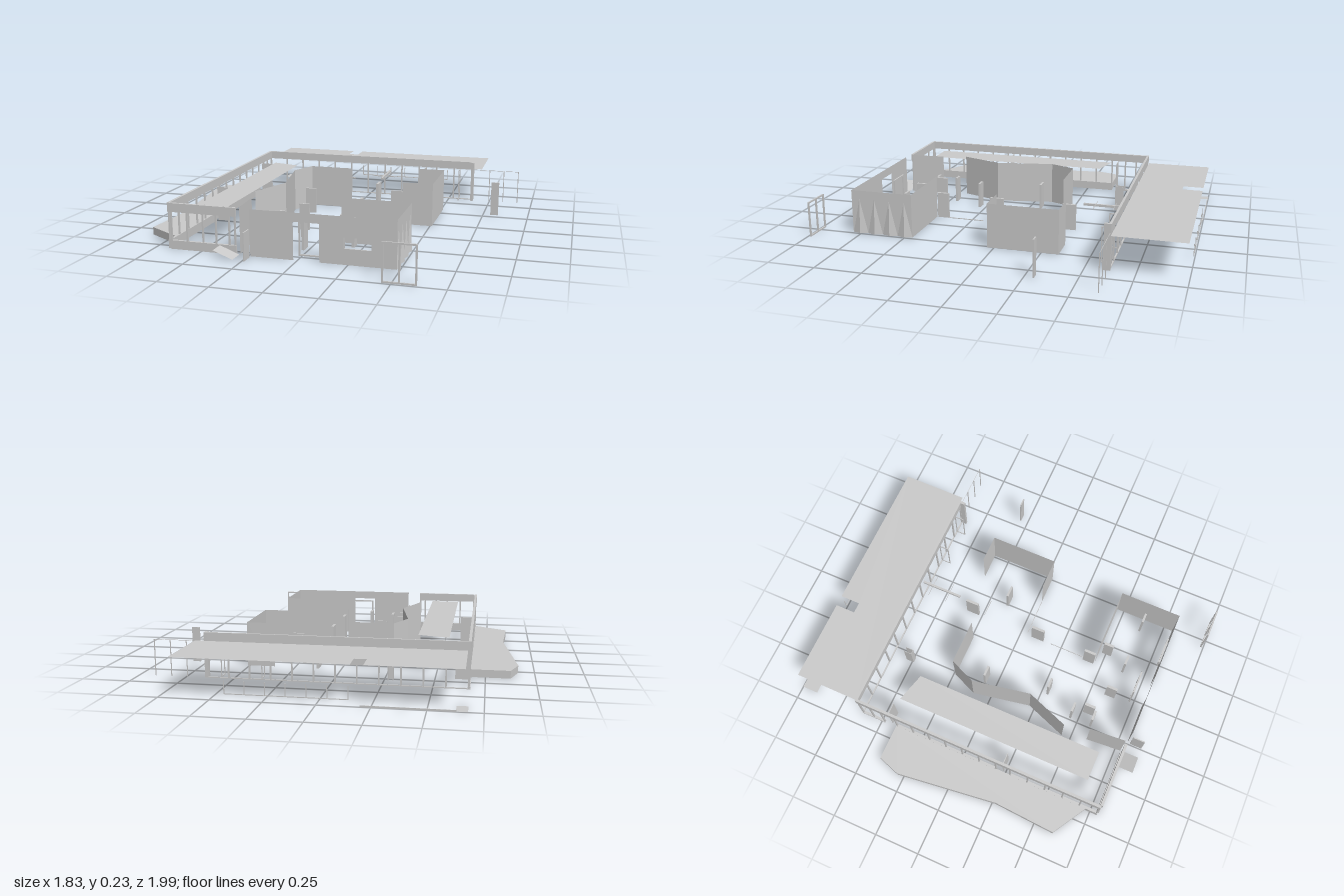
import * as THREE from 'three';

const H = 0.235, HEAD = 0.19, SILL = 0.045;

export function createModel() {
  const root = new THREE.Group();
  root.name = 'pavilion';
  const mat = new THREE.MeshStandardMaterial({ color: 0xcccccc, side: THREE.DoubleSide, flatShading: true });

  const add = (name, geo, parent = root) => {
    const mesh = new THREE.Mesh(geo, mat);
    mesh.name = name;
    parent.add(mesh);
    return mesh;
  };
  const group = (name) => {
    const g = new THREE.Group();
    g.name = name;
    root.add(g);
    return g;
  };
  // box from its minimum and maximum corners
  const box = (name, x0, x1, y0, y1, z0, z1, parent) =>
    add(name, new THREE.BoxGeometry(x1 - x0, y1 - y0, z1 - z0), parent)
      .position.set((x0 + x1) / 2, (y0 + y1) / 2, (z0 + z1) / 2);
  const outline = (pts) => new THREE.Shape(pts.map(([a, b]) => new THREE.Vector2(a, b)));
  // flat sheet from [x, z] points
  const sheet = (name, pts, y) => {
    const geo = new THREE.ShapeGeometry(outline(pts.map(([x, z]) => [x, -z])));
    geo.rotateX(-Math.PI / 2);
    add(name, geo).position.y = y;
  };
  // upright thin walls following [x, z] points
  const wall = (name, pts, h = H) => {
    const pos = [], idx = [];
    pts.forEach(([x, z], i) => {
      pos.push(x, 0, z, x, h, z);
      if (i) idx.push(2 * i - 2, 2 * i, 2 * i - 1, 2 * i, 2 * i + 1, 2 * i - 1);
    });
    const geo = new THREE.BufferGeometry();
    geo.setAttribute('position', new THREE.Float32BufferAttribute(pos, 3));
    geo.setIndex(idx);
    geo.computeVertexNormals();
    add(name, geo);
  };

  // canopy with its notch, and the ceiling strip
  sheet('backCanopy', [[-0.665, -0.99], [-0.215, -0.99], [-0.215, -0.88], [-0.155, -0.88],
    [-0.155, -0.99], [0.695, -0.99], [0.695, -0.63], [-0.665, -0.63]], 0.192);
  sheet('ceilingStrip', [[-0.565, -0.415], [-0.405, -0.37], [-0.405, 0.675], [-0.565, 0.675]], 0.205);

  // raised terrace along the side
  const deck = new THREE.ExtrudeGeometry(outline([[-0.675, 0.405], [-0.875, 0.405], [-0.915, 0.285],
    [-0.845, -0.27], [-0.865, -0.61], [-0.675, -0.725]]), { depth: 0.04, bevelEnabled: false });
  deck.rotateX(-Math.PI / 2);
  add('terrace', deck).position.y = 0.004;

  // sloping entrance ramp
  const ramp = new THREE.PlaneGeometry(0.1, 0.085);
  ramp.rotateX(-Math.PI / 2);
  const rp = ramp.attributes.position;
  for (let i = 0; i < rp.count; i++) rp.setY(i, rp.getX(i) < 0 ? 0.042 : 0.003);
  ramp.computeVertexNormals();
  add('entranceRamp', ramp).position.set(-0.348, 0, 0.842);
  box('entranceDoor', -0.243, -0.237, 0, 0.14, 0.815, 0.882);

  // side window wall, with two open bays
  const side = group('sideWindows');
  box('sideBeam', -0.68, -0.666, HEAD, H, -0.62, 0.79, side);
  for (const [z0, z1] of [[-0.62, -0.48], [-0.405, 0.2], [0.275, 0.79]]) {
    box('sideSill', -0.68, -0.666, 0, z0 < -0.5 ? 0.01 : SILL, z0, z1, side);
    const n = Math.max(2, Math.round((z1 - z0) / 0.1));
    for (let i = 0; i <= n; i++) {
      const z = z0 + 0.004 + (z1 - z0 - 0.008) * i / n;
      box('mullion', -0.677, -0.669, 0, HEAD, z - 0.004, z + 0.004, side);
    }
  }
  for (const z of [-0.44, 0.235]) box('openSideDoor', -0.665, -0.6, 0, HEAD, z - 0.002, z + 0.002, side);

  // front corner window
  const corner = group('frontWindows');
  box('frontBeam', -0.665, -0.315, HEAD, H, 0.783, 0.797, corner);
  box('frontSill', -0.665, -0.315, 0, SILL, 0.783, 0.797, corner);
  for (const x of [-0.66, -0.575, -0.49, -0.42, -0.35, -0.32])
    box('mullion', x - 0.004, x + 0.004, SILL, HEAD, 0.786, 0.794, corner);

  // rear glazed wall
  const rear = group('rearWindows');
  box('rearBeam', -0.68, 0.65, HEAD, H, -0.626, -0.614, rear);
  box('rearThreshold', -0.68, 0.65, 0, 0.005, -0.624, -0.616, rear);
  box('rearColumn', 0.635, 0.65, 0, H, -0.626, -0.59, rear);
  for (let i = 0; i <= 12; i++) {
    const x = -0.672 + i * 0.109;
    box('mullion', x - 0.004, x + 0.004, 0, HEAD, -0.624, -0.616, rear);
  }
  // a rectangular frame in the x-y plane
  const frame = (name, x0, x1, y0, y1, z, t, parent) => {
    for (const x of [x0, x1 - t]) box(name + 'Post', x, x + t, y0, y1, z - 0.004, z + 0.004, parent);
    for (const y of [y0, y1 - t]) box(name + 'Rail', x0, x1, y, y + t, z - 0.004, z + 0.004, parent);
  };
  // glazed leaves standing open
  for (const x of [0.355, 0.565]) {
    for (const z of [-0.62, -0.569]) box('openLeafPost', x - 0.002, x + 0.002, 0.004, HEAD, z, z + 0.005, rear);
    for (const y of [0.004, 0.184]) box('openLeafRail', x - 0.002, x + 0.002, y, y + 0.006, -0.62, -0.564, rear);
  }
  // slender bars beyond the corner
  for (const x of [0.745, 0.83, 0.915]) box('outerBar', x - 0.002, x + 0.002, 0, HEAD, -0.622, -0.618, rear);
  box('outerRail', 0.65, 0.915, 0.188, 0.19, -0.621, -0.619, rear);

  // front wall with doorway and window
  const face = outline([[-0.24, 0], [-0.02, 0], [-0.02, HEAD], [0.11, HEAD], [0.11, 0], [0.485, 0], [0.485, H], [-0.24, H]]);
  face.holes.push(new THREE.Path([[0.225, 0.075], [0.225, 0.135], [0.365, 0.135], [0.365, 0.075]]
    .map(([x, y]) => new THREE.Vector2(x, y))));
  add('frontWall', new THREE.ShapeGeometry(face)).position.z = 0.8;
  frame('window', 0.22, 0.37, 0.07, 0.14, 0.793, 0.008);
  frame('doorway', -0.018, 0.108, 0, HEAD, 0.725, 0.008);

  // folded end wall: ridges wide at the foot, fading at the head
  const ridges = [], step = 0.34 / 4;
  for (let i = 0; i < 4; i++) {
    const a = 0.46 + i * step, m = a + step / 2, b = a + step;
    ridges.push(0.482, 0, a, 0.482, HEAD, m, 0.495, 0, m, 0.495, 0, m, 0.482, HEAD, m, 0.482, 0, b);
  }
  const folds = new THREE.BufferGeometry();
  folds.setAttribute('position', new THREE.Float32BufferAttribute(ridges, 3));
  folds.computeVertexNormals();
  add('wallFolds', folds);
  wall('endWall', [[0.12, 0.46], [0.482, 0.46], [0.482, 0.8]]);

  // inner walls
  wall('windingWall', [[-0.02, -0.24], [-0.265, -0.24], [-0.325, -0.1], [-0.265, 0.22], [-0.35, 0.45]]);
  wall('entranceWall', [[-0.315, 0.585], [-0.3, 0.78]]);
  wall('roomWall', [[0.345, 0.035], [0.51, 0.035], [0.51, -0.34], [0.36, -0.34]]);

  // inner door leaves as [x, z, length, along z]
  const doors = group('innerDoors');
  for (const [x, z, len, alongZ] of [
    [-0.215, -0.065, 0.06], [0.275, -0.14, 0.065], [-0.137, 0.285, 0.055], [-0.212, 0.455, 0.055],
    [-0.212, 0.575, 0.055], [0.157, 0.625, 0.055], [0.432, 0.625, 0.055],
    [-0.17, 0.537, 0.06, 1], [-0.027, 0.61, 0.06, 1], [0.2, 0.503, 0.055, 1],
    [0.127, -0.307, 0.075, 1], [0.127, 0.102, 0.075, 1], [0.117, 0.422, 0.065, 1]]) {
    const u = (alongZ ? 0.014 : len) / 2, v = (alongZ ? len : 0.012) / 2;
    box('doorLeaf', x - u, x + u, 0, 0.143, z - v, z + v, doors);
  }
  box('outerPanel', 0.79, 0.833, 0, HEAD, -0.299, -0.292);

  // slim partition rails
  const rails = group('partitionRails');
  box('partitionHead', 0.121, 0.133, 0.145, 0.157, -0.615, -0.385, rails);
  for (const z of [-0.555, -0.45]) box('crossRail', 0.065, 0.19, 0.15, 0.153, z - 0.001, z + 0.001, rails);
  box('floorRail', 0.123, 0.126, 0, 0.004, 0.185, 0.39, rails);
  box('floorRail', 0.135, 0.345, 0, 0.004, 0.034, 0.037, rails);
  box('floorRail', 0.135, 0.23, 0, 0.004, -0.241, -0.238, rails);
  for (const x of [-0.295, -0.27]) box('nichePost', x - 0.001, x + 0.001, 0, 0.143, -0.535, -0.49, rails);
  box('nicheBack', -0.295, -0.27, 0, 0.143, -0.492, -0.49, rails);

  // free-standing two-pane frame in front
  const stand = group('glazedScreen');
  frame('screen', 0.455, 0.615, 0, HEAD, 0.986, 0.008, stand);
  box('screenMiddle', 0.531, 0.539, 0, HEAD, 0.982, 0.99, stand);

  // low railing and paving behind
  const fence = group('rearRailing');
  box('fenceRail', -0.15, 0.43, 0.03, 0.034, -0.999, -0.996, fence);
  for (let i = 0; i < 7; i++) {
    const x = -0.148 + i * 0.096;
    box('fencePost', x - 0.002, x + 0.002, 0.03, 0.095, -0.999, -0.996, fence);
  }
  box('edgeStrip', -0.63, -0.2, 0, 0.008, -0.999, -0.996, fence);
  sheet('pavingSlab', [[-0.68, -1], [-0.627, -1], [-0.627, -0.912], [-0.68, -0.912]], 0.002);

  return root;
}
